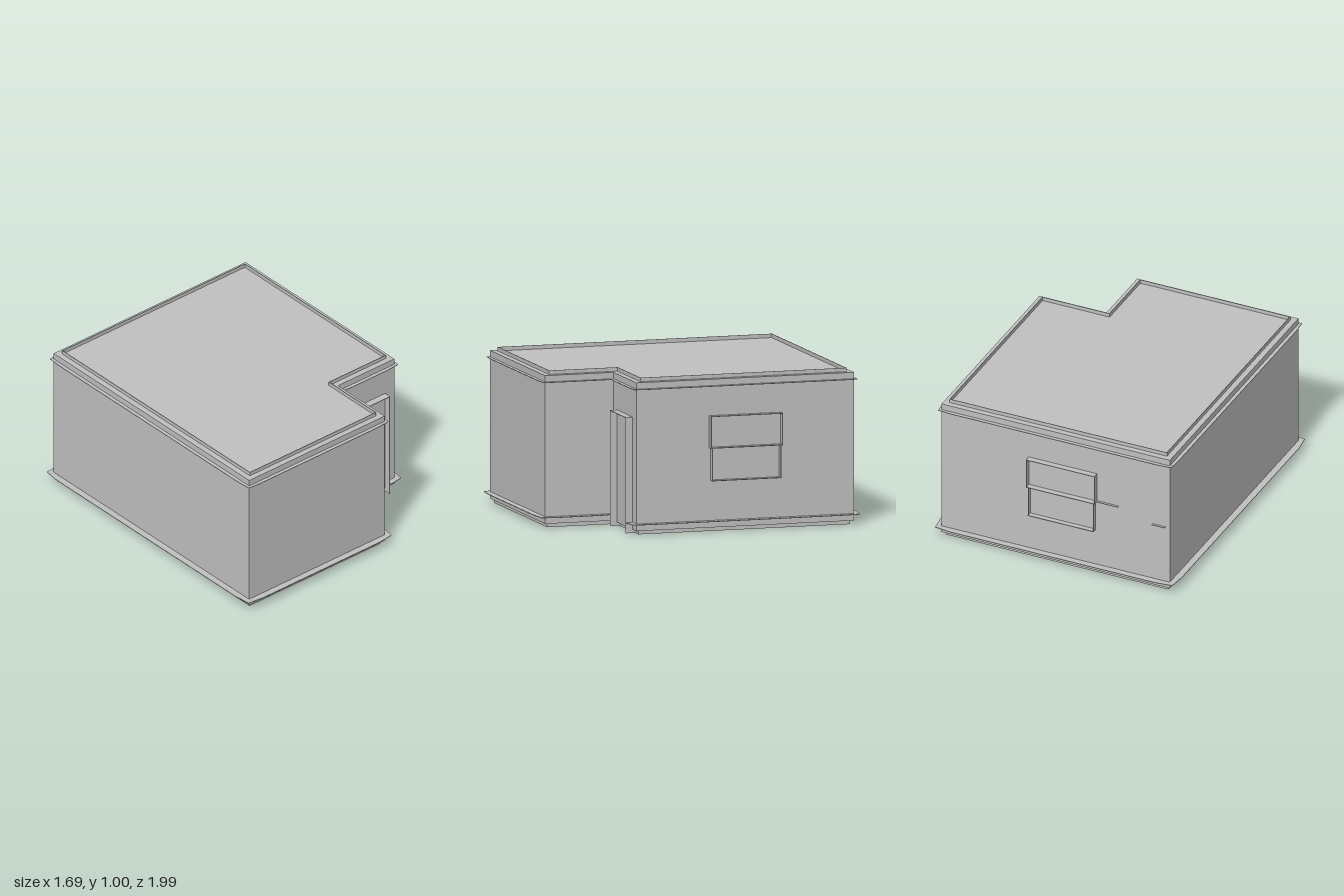
import * as THREE from 'three';

// L-shaped plan as (x, -z), counter-clockwise
const PLAN = [[-0.8, -0.955], [0.33, -0.955], [0.33, -0.5], [0.8, -0.5], [0.8, 0.95], [-0.8, 0.95]];
const DOOR = { left: 0.4, right: 0.725, top: 0.745 };
const SHEET = 0.004;

const material = new THREE.MeshStandardMaterial({ color: 0xc0c0c0 });
material.name = 'plain grey';

// Outward normal of the plan edge starting at corner i
function edgeNormal(i) {
  const a = PLAN[i], b = PLAN[(i + 1) % PLAN.length];
  const len = Math.hypot(b[0] - a[0], b[1] - a[1]);
  return [(b[1] - a[1]) / len, (a[0] - b[0]) / len];
}

// Plan grown (d > 0) or shrunk (d < 0) by an even margin
function outline(d) {
  return PLAN.map((p, i) => {
    const m = edgeNormal((i + PLAN.length - 1) % PLAN.length), n = edgeNormal(i);
    return new THREE.Vector2(p[0] + (m[0] + n[0]) * d, p[1] + (m[1] + n[1]) * d);
  });
}

// Ledge outline that narrows slightly at its corners, optionally cut at the door
function ledgeOutline(d, doorGap) {
  const corners = outline(d * 0.7), points = [];
  PLAN.forEach((p, i) => {
    points.push(corners[i]);
    if (i === 2 && doorGap) {
      const s = -0.5;
      for (const [x, y] of [[DOOR.left, s - d], [DOOR.left, s], [DOOR.right, s], [DOOR.right, s - d]])
        points.push(new THREE.Vector2(x, y));
      return;
    }
    const n = edgeNormal(i), q = PLAN[(i + 1) % PLAN.length];
    const t = 0.08 / Math.hypot(q[0] - p[0], q[1] - p[1]);
    for (const k of [t, 1 - t])
      points.push(new THREE.Vector2(p[0] + (q[0] - p[0]) * k + n[0] * d, p[1] + (q[1] - p[1]) * k + n[1] * d));
  });
  return points;
}

// Horizontal slab from y0 to y1, with an optional hole
function slab(name, points, y0, y1, hole) {
  const shape = new THREE.Shape(points);
  if (hole) shape.holes.push(new THREE.Path(hole));
  const geometry = new THREE.ExtrudeGeometry(shape, { depth: y1 - y0, bevelEnabled: false });
  geometry.rotateX(-Math.PI / 2).translate(0, y0, 0);
  const mesh = new THREE.Mesh(geometry, material);
  mesh.name = name;
  return mesh;
}

// Box given by its low and high corners
function block(name, lo, hi) {
  const size = hi.map((v, i) => v - lo[i]);
  const mesh = new THREE.Mesh(new THREE.BoxGeometry(...size), material);
  mesh.name = name;
  mesh.position.set(...lo.map((v, i) => v + size[i] / 2));
  return mesh;
}

// Sash window facing +z with its back on z = 0
function createWindow(name) {
  const group = new THREE.Group();
  group.name = name;
  const sashes = [
    { label: 'lowerSash', half: 0.23, y0: 0.33, y1: 0.54, depth: 0.032 },
    { label: 'upperSash', half: 0.24, y0: 0.54, y1: 0.742, depth: 0.04 },
  ];
  for (const { label, half, y0, y1, depth } of sashes) {
    group.add(block(label + 'Pane', [-half, y0, -0.005], [half, y1, 0.002]));
    for (const x of [-half, half - SHEET])
      group.add(block(label + 'Side', [x, y0, 0], [x + SHEET, y1, depth]));
  }
  group.add(block('windowSill', [-0.23, 0.325, 0], [0.23, 0.33, 0.035]));
  group.add(block('windowBar', [-0.24, 0.535, 0], [0.24, 0.54, 0.04]));
  group.add(block('windowHead', [-0.24, 0.738, 0], [0.24, 0.742, 0.04]));
  return group;
}

export function createModel() {
  const model = new THREE.Group();
  model.name = 'house';

  // Plinth, walls and thin roof rim
  model.add(slab('plinth', outline(-0.02), 0, 0.025));
  model.add(slab('walls', outline(0), 0.025, 0.975));
  model.add(slab('roofRim', outline(-0.038), 0.975, 1, outline(-0.042)));

  // Thin ledges around the foot and the eaves
  model.add(slab('footLedge', ledgeOutline(0.044, true), 0.066, 0.07, outline(-0.01)));
  model.add(slab('eavesLedge', ledgeOutline(0.024, false), 0.93, 0.934, outline(-0.01)));

  // Door with a projecting frame
  const door = new THREE.Group();
  door.name = 'door';
  const { left, right, top } = DOOR;
  door.add(block('doorPanel', [left, 0.025, 0.495], [right, top, 0.502]));
  for (const x of [left, right - SHEET])
    door.add(block('doorJamb', [x, 0.002, 0.48], [x + SHEET, top, 0.547]));
  door.add(block('doorHead', [left, top - SHEET, 0.5], [right, top, 0.547]));
  model.add(door);

  // Windows on the left side and the back
  const sideWindow = createWindow('sideWindow');
  sideWindow.position.set(0.8, 0, -0.225);
  sideWindow.rotation.y = Math.PI / 2;
  const backWindow = createWindow('backWindow');
  backWindow.position.set(-0.05, 0, -0.95);
  backWindow.rotation.y = Math.PI;
  model.add(sideWindow, backWindow);

  // Small slivers on the back wall
  for (const [x0, x1, y] of [[-0.44, -0.29, 0.538], [-0.77, -0.68, 0.47]])
    model.add(block('wallSliver', [x0, y, -0.965], [x1, y + SHEET, -0.945]));

  return model;
}
